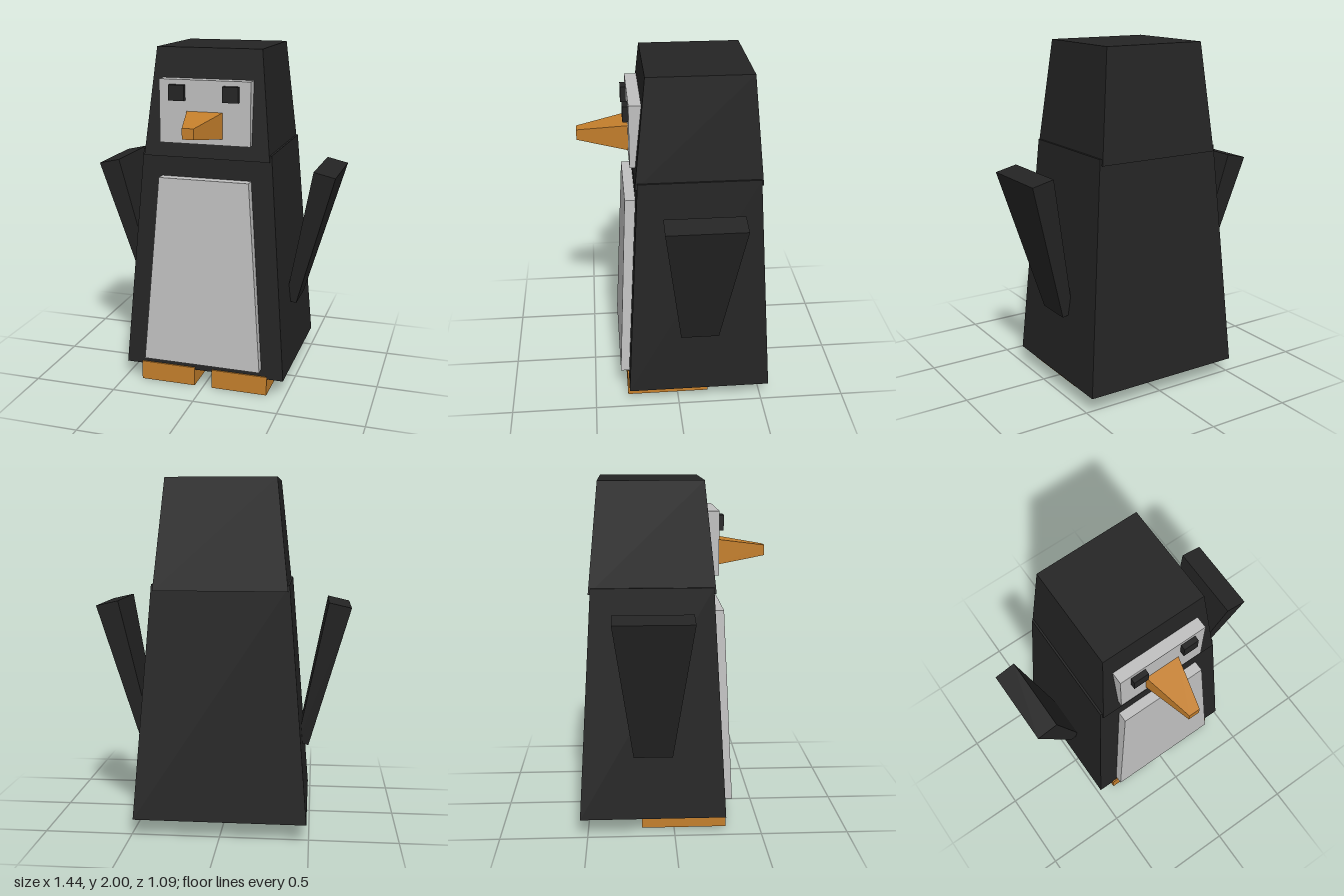
import * as THREE from 'three';

const material = (name, color) => {
  const m = new THREE.MeshStandardMaterial({ color });
  m.name = name;
  return m;
};

// Six-sided block whose corners are placed by a rule of the signs (sx, sy, sz).
function block(name, mat, corner) {
  const geo = new THREE.BoxGeometry(2, 2, 2);
  const p = geo.attributes.position;
  for (let i = 0; i < p.count; i++) p.setXYZ(i, ...corner(p.getX(i), p.getY(i), p.getZ(i)));
  geo.computeVertexNormals();
  const mesh = new THREE.Mesh(geo, mat);
  mesh.name = name;
  return mesh;
}

// Upright tapered block; each end is [y, half width, back z, front z].
const taper = (name, mat, bottom, top) =>
  block(name, mat, (sx, sy, sz) => {
    const [y, w, back, front] = sy > 0 ? top : bottom;
    return [sx * w, y, sz > 0 ? front : back];
  });

export function createModel() {
  const black = material('black', 0x242424);
  const white = material('pale grey', 0xc0c0c0);
  const orange = material('orange', 0xc47f2c);
  const model = new THREE.Group();
  model.name = 'penguin';

  // Body, head and pale panels
  model.add(
    taper('body', black, [0.1, 0.487, -0.543, 0.296], [1.42, 0.38, -0.462, 0.222]),
    taper('head', black, [1.385, 0.372, -0.475, 0.236], [2, 0.307, -0.415, 0.17]),
    taper('belly', white, [0.157, 0.355, 0.2, 0.343], [1.27, 0.266, 0.2, 0.29]),
    taper('face', white, [1.47, 0.266, 0.15, 0.257], [1.83, 0.266, 0.15, 0.257])
  );

  // Beak narrowing forward
  model.add(block('beak', orange, (sx, sy, sz) => sz > 0
    ? [sx * 0.033, 1.58 + sy * 0.03, 0.545]
    : [sx * 0.106, 1.58 + sy * 0.075, 0.25]));

  for (const side of [1, -1]) {
    const label = side > 0 ? 'left' : 'right';

    // Eyes
    model.add(block(label + 'Eye', black, (sx, sy, sz) =>
      [side * 0.157 + sx * 0.045, 1.758 + sy * 0.044, sz > 0 ? 0.288 : 0.24]));

    // Feet
    model.add(block(label + 'Foot', orange, (sx, sy, sz) =>
      [side * 0.222 + sx * 0.168, sy > 0 ? 0.115 : 0, sz > 0 ? 0.304 : -0.187]));

    // Flippers leaning outward, wider at the top
    model.add(block(label + 'Flipper', black, (sx, sy, sz) => {
      const outer = sx * side > 0;
      const [x, y] = sy > 0
        ? (outer ? [0.72, 1.287] : [0.594, 1.316])
        : (outer ? [0.49, 0.475] : [0.425, 0.49]);
      return [side * x, y, -0.122 + sz * (sy > 0 ? 0.221 : 0.111)];
    }));
  }
  return model;
}
